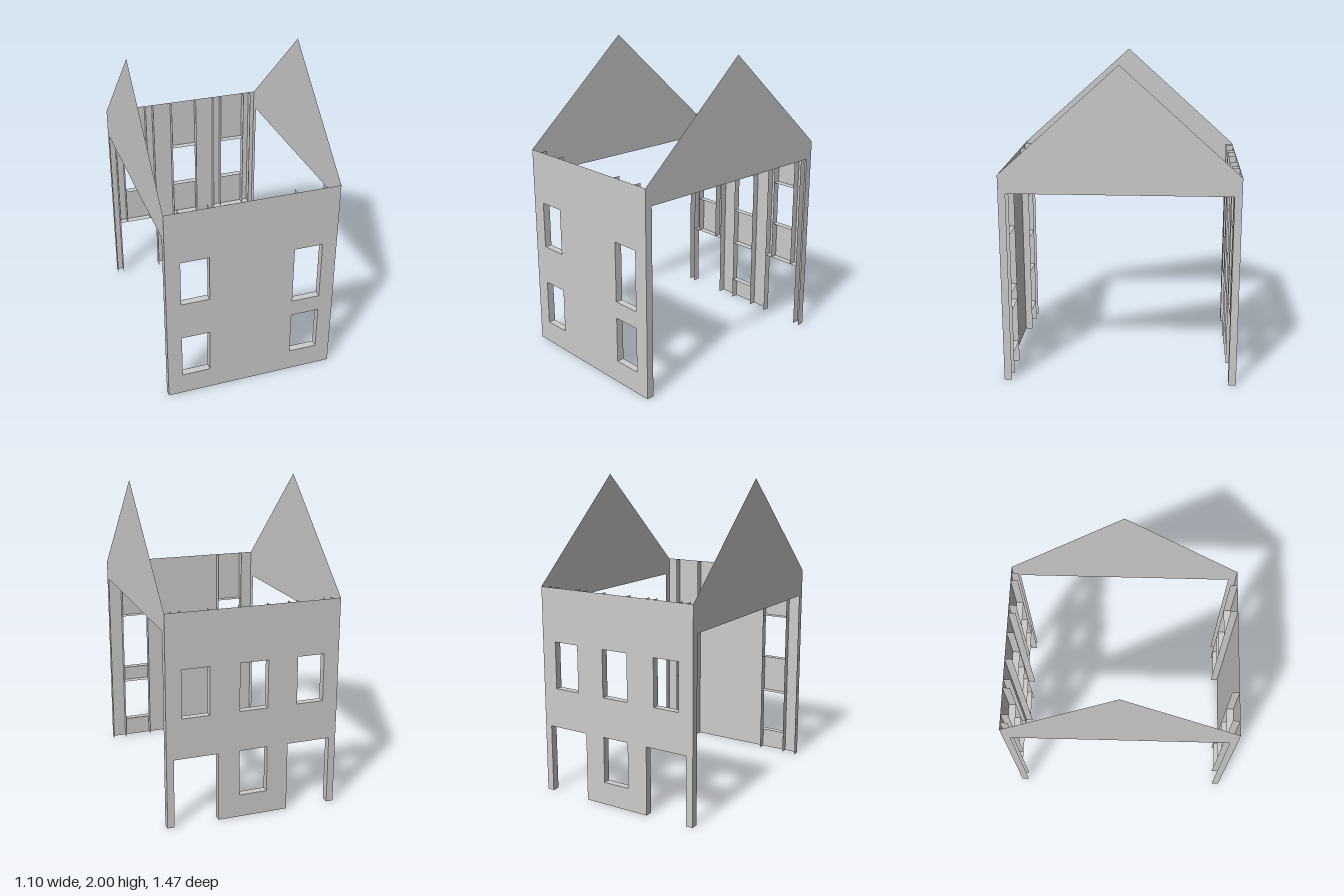
import * as THREE from 'three';

const W = 0.55, EAVE = 1.34, Z = 0.735, DEPTH = 0.047, RIDGE = 2;
const material = new THREE.MeshStandardMaterial({ color: 0xcccccc, side: THREE.DoubleSide });

const shapeOf = (points) => new THREE.Shape(points.map(([x, y]) => new THREE.Vector2(x, y)));

function add(parent, name, geometry, x = 0, y = 0, z = 0) {
  const mesh = new THREE.Mesh(geometry, material);
  mesh.name = name;
  mesh.position.set(x, y, z);
  parent.add(mesh);
  return mesh;
}

// Upright strip behind a wall, running from y0 to the eave
function addFin(parent, x, y0) {
  const geometry = new THREE.PlaneGeometry(DEPTH, EAVE - y0).rotateY(Math.PI / 2);
  add(parent, 'revealFin', geometry, x, (y0 + EAVE) / 2, Z - DEPTH / 2);
}

// Level strip: a window sill, window head or door head
function addLedge(parent, name, x0, x1, y) {
  const geometry = new THREE.PlaneGeometry(x1 - x0, DEPTH).rotateX(-Math.PI / 2);
  add(parent, name, geometry, (x0 + x1) / 2, y, Z - DEPTH / 2);
}

// Thin wall facing +z; windows are [x0, x1, y0, y1], doors are [x0, x1, height], fins are [x, y0]
function makeWall(name, windows, doors, fins) {
  const wall = new THREE.Group();
  wall.name = name;
  const outline = [[-W, 0]];
  for (const [x0, x1, h] of doors) {
    outline.push([x0, 0], [x0, h], [x1, h], [x1, 0]);
    addLedge(wall, 'doorHead', x0, x1, h);
  }
  outline.push([W, 0], [W, EAVE], [-W, EAVE]);
  const shape = shapeOf(outline);
  for (const [x0, x1, y0, y1] of windows) {
    shape.holes.push(shapeOf([[x0, y0], [x0, y1], [x1, y1], [x1, y0]]));
    addLedge(wall, 'windowSill', x0, x1, y0);
    addLedge(wall, 'windowHead', x0, x1, y1);
  }
  add(wall, 'wallPanel', new THREE.ShapeGeometry(shape), 0, 0, Z);
  fins.forEach(([x, y0]) => addFin(wall, x, y0));
  return wall;
}

// Gable sheet with a narrow leg down each corner
function addGable(parent, name, x, bottom) {
  const inner = Z - DEPTH;
  const shape = shapeOf([
    [-Z, 0], [-inner, 0], [-inner, bottom], [inner, bottom], [inner, 0],
    [Z, 0], [Z, EAVE], [0, RIDGE], [-Z, EAVE],
  ]);
  add(parent, name, new THREE.ShapeGeometry(shape).rotateY(Math.sign(x) * Math.PI / 2), x);
}

export function createModel() {
  const house = new THREE.Group();
  house.name = 'houseShell';

  // Front wall with four windows
  house.add(makeWall('frontWall', [
    [-0.456, -0.275, 0.695, 0.998], [-0.456, -0.275, 0.145, 0.44],
    [0.271, 0.455, 0.55, 0.94], [0.271, 0.455, 0.145, 0.44],
  ], [], [[-0.456, 0], [-0.275, 0], [0.271, 0], [0.455, 0]]));

  // Back wall with two doorways and four windows
  const backFins = [];
  for (const s of [-1, 1]) {
    backFins.push([s * 0.505, 0], [s * 0.225, 0], [s * 0.09, 0], [s * 0.453, 0.44], [s * 0.28, 0.44]);
  }
  const back = makeWall('backWall', [
    [-0.453, -0.28, 0.695, 0.998], [-0.09, 0.09, 0.695, 0.998], [0.28, 0.453, 0.695, 0.998],
    [-0.09, 0.09, 0.145, 0.44],
  ], [[-0.505, -0.225, 0.44], [0.225, 0.505, 0.44]], backFins);
  back.rotation.y = Math.PI;
  house.add(back);

  // Side gables
  addGable(house, 'leftGable', W, 1.225);
  addGable(house, 'rightGable', -W, 1.165);
  return house;
}
